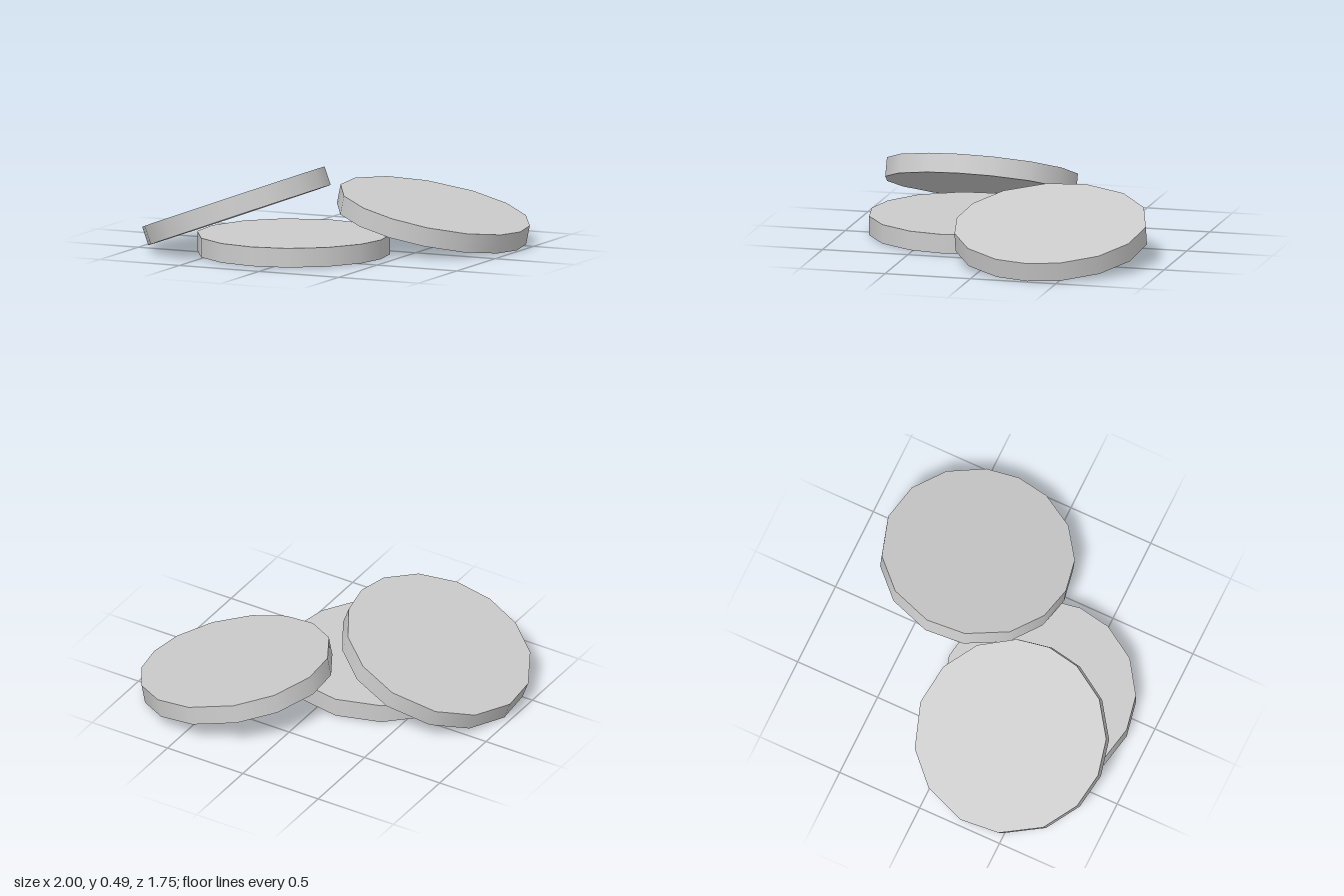
import * as THREE from 'three';

const RADIUS = 0.55;
const THICKNESS = 0.11;
// Slightly uneven corner directions around the rim, in degrees from +x towards +z
const RIM = [0, 20, 44, 68, 90, 112, 136, 163, 187, 214, 239, 267, 292, 316, 340];

// Disc with 15 uneven sides: a cylinder whose rim corners are moved to the listed angles
function discGeometry() {
  const n = RIM.length;
  const geo = new THREE.CylinderGeometry(RADIUS, RADIUS, THICKNESS, n, 1, false, Math.PI / 2);
  const pos = geo.attributes.position;
  const normal = geo.attributes.normal;
  for (let i = 0; i < pos.count; i++) {
    const x = pos.getX(i), z = pos.getZ(i);
    if (Math.hypot(x, z) < 0.01) continue; // cap centre
    const k = Math.round(Math.atan2(z, x) / (2 * Math.PI / n));
    const a = THREE.MathUtils.degToRad(RIM[(k + n) % n]);
    const c = Math.cos(a), s = Math.sin(a);
    pos.setXYZ(i, RADIUS * c, pos.getY(i), RADIUS * s);
    if (Math.abs(normal.getY(i)) < 0.5) normal.setXYZ(i, c, 0, s); // smooth rim
  }
  return geo;
}

export function createModel() {
  const group = new THREE.Group();
  group.name = 'discPile';
  const geo = discGeometry();
  const material = new THREE.MeshStandardMaterial({ color: 0xcccccc });

  const addDisc = (name, x, y, z, tiltDegrees) => {
    const disc = new THREE.Mesh(geo, material);
    disc.name = name;
    disc.position.set(x, y, z);
    disc.rotation.z = THREE.MathUtils.degToRad(tiltDegrees);
    group.add(disc);
  };

  // One disc lies flat, the other two lean on it
  addDisc('flatDisc', -0.11, 0.065, 0.325, 0);
  addDisc('steepDisc', -0.47, 0.2525, 0.325, 20.4);
  addDisc('shallowDisc', 0.4525, 0.173, -0.327, -12);

  return group;
}
